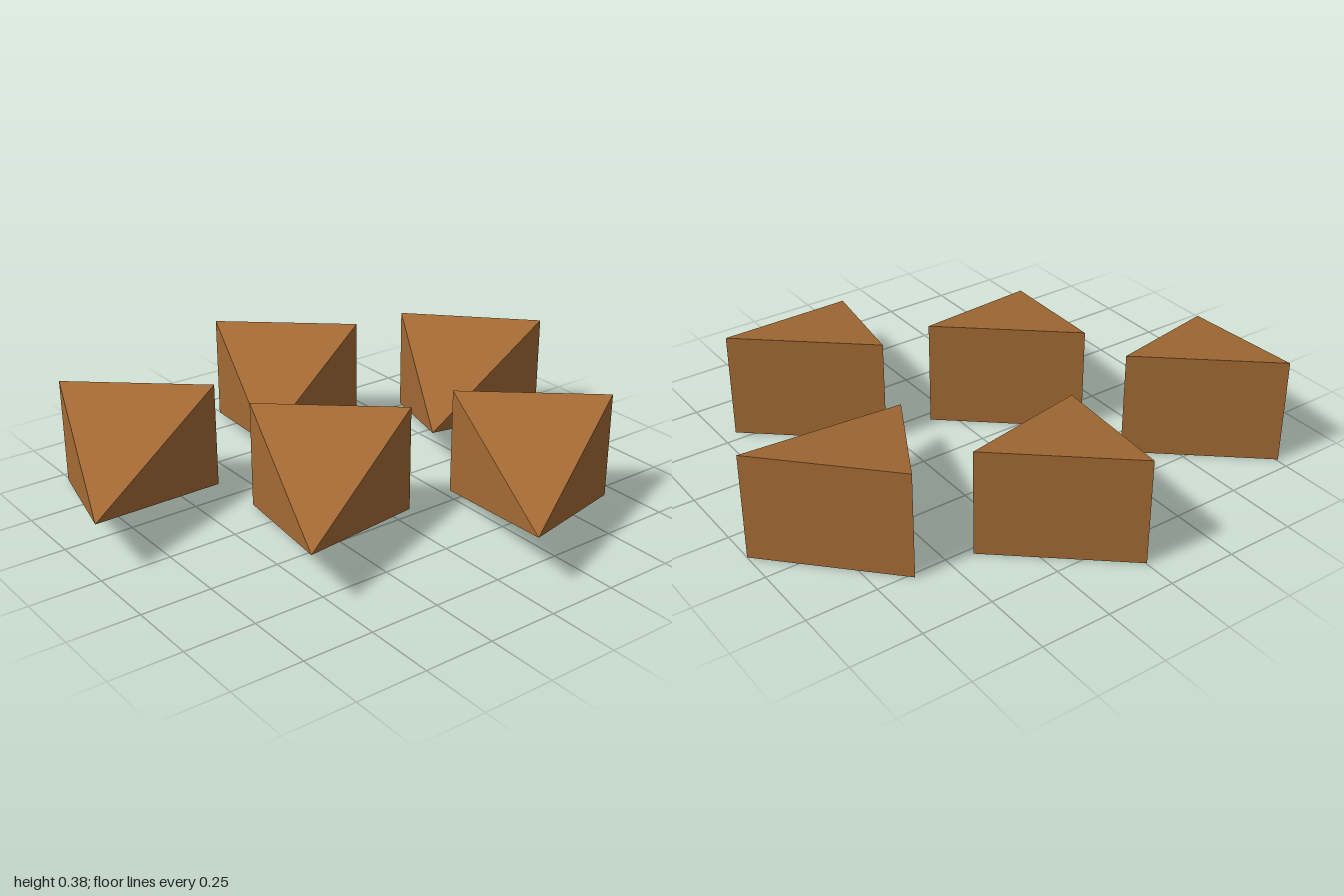
import * as THREE from 'three';

const HEIGHT = 0.385;

// Pyramid lying on its side: upright rectangular base over the plan line a-b, apex over c at mid height.
// Plan points are [x, z].
function pyramidGeometry(a, b, c) {
  const corners = [
    [b[0], 0, b[1]],
    [a[0], 0, a[1]],
    [a[0], HEIGHT, a[1]],
    [b[0], HEIGHT, b[1]],
  ];
  const apex = [c[0], HEIGHT / 2, c[1]];
  const faces = [corners[0], corners[1], corners[2], corners[0], corners[2], corners[3]];
  for (let i = 0; i < 4; i++) faces.push(corners[(i + 1) % 4], corners[i], apex);

  const geometry = new THREE.BufferGeometry();
  geometry.setAttribute('position', new THREE.Float32BufferAttribute(faces.flat(), 3));
  geometry.computeVertexNormals();
  return geometry;
}

export function createModel() {
  const model = new THREE.Group();
  model.name = 'pyramidCluster';
  const brown = new THREE.MeshStandardMaterial({ color: 0xa56b35, flatShading: true });

  const add = (name, geometry, x = 0, z = 0) => {
    const mesh = new THREE.Mesh(geometry, brown);
    mesh.name = name;
    mesh.position.set(x, 0, z);
    model.add(mesh);
  };

  // Four matching pyramids, placed by their left base corner
  const shared = pyramidGeometry([0, 0], [0.355, -0.413], [0.685, 0.238]);
  const places = {
    leftPyramid: [-0.88, 0.003],
    rightPyramid: [0.19, -0.282],
    centrePyramid: [-0.143, 0.333],
    frontPyramid: [-0.704, 0.757],
  };
  for (const [name, [x, z]] of Object.entries(places)) add(name, shared, x, z);

  // Back pyramid, turned a little and slightly skewed
  add('backPyramid', pyramidGeometry([-0.518, -0.625], [-0.128, -1], [0.097, -0.275]));

  return model;
}
